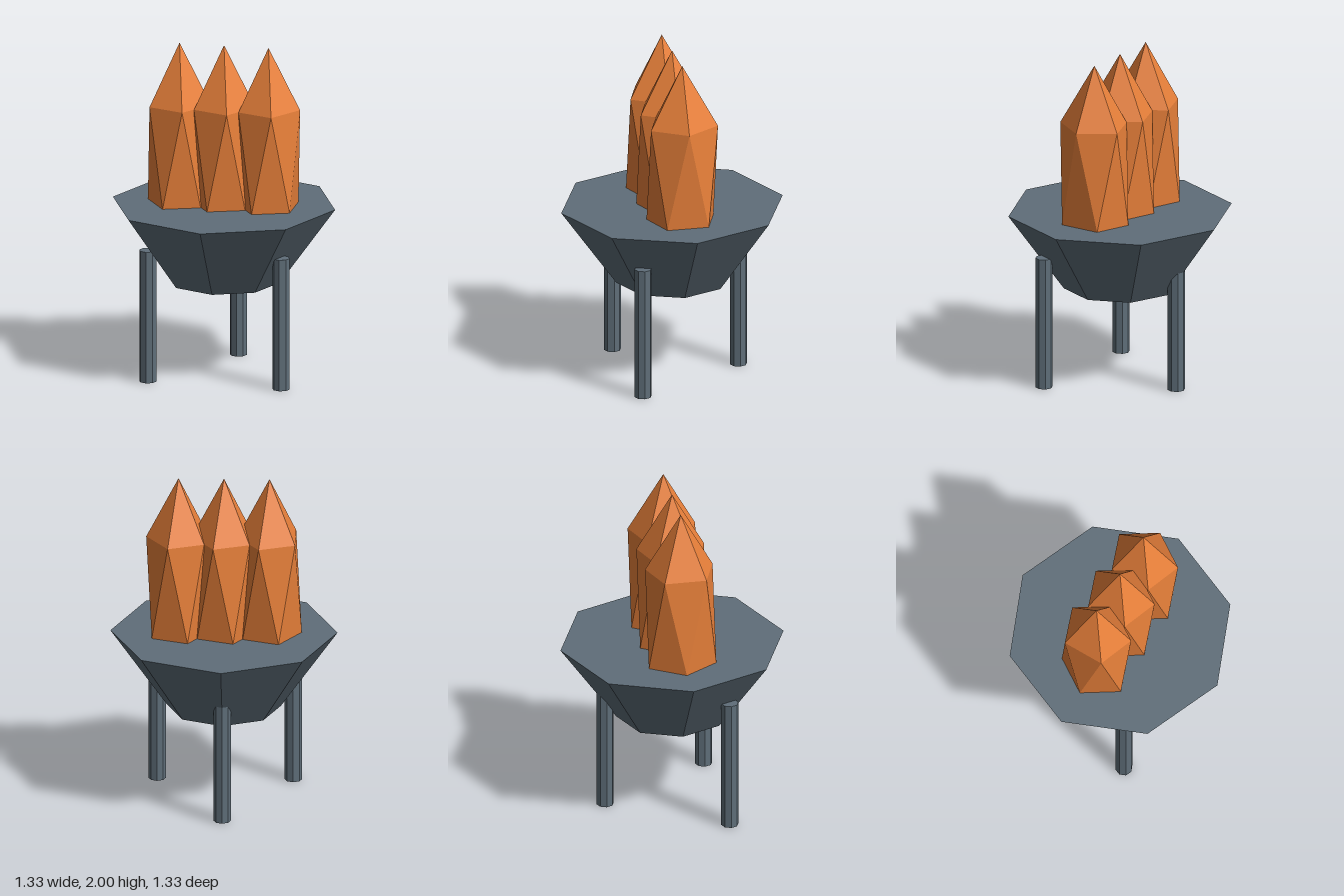
import * as THREE from 'three';

export function createModel() {
  const model = new THREE.Group();
  const slate = new THREE.MeshStandardMaterial({ color: 0x5f6e79, flatShading: true });
  const orange = new THREE.MeshStandardMaterial({ color: 0xe8803a, flatShading: true });

  function add(parent, name, geometry, material, x, y, z) {
    const mesh = new THREE.Mesh(geometry, material);
    mesh.name = name;
    mesh.position.set(x, y, z);
    parent.add(mesh);
  }

  // Eight-sided tapered bowl, corners on the axes
  add(model, 'bowl', new THREE.CylinderGeometry(0.667, 0.335, 0.465, 8), slate, 0, 0.8025, 0);

  // Three legs: two in front, one behind
  const legs = new THREE.Group();
  legs.name = 'legs';
  const legGeometry = new THREE.CylinderGeometry(0.051, 0.051, 0.8, 8);
  for (const [x, z] of [[-0.4, 0.267], [0.4, 0.267], [0, -0.4]]) {
    add(legs, 'leg', legGeometry, slate, x, 0.4, z);
  }
  model.add(legs);

  // Flames: stretched icosahedra standing on a corner, lower tips sunk in the bowl
  const flames = new THREE.Group();
  flames.name = 'flames';
  const flameGeometry = new THREE.IcosahedronGeometry(1, 0);
  flameGeometry.rotateZ(-Math.atan(2 / (1 + Math.sqrt(5))));
  flameGeometry.scale(0.212, 0.667, 0.237);
  for (const x of [-0.267, 0, 0.267]) {
    add(flames, 'flame', flameGeometry, orange, x, 1.333, 0);
  }
  model.add(flames);

  return model;
}
